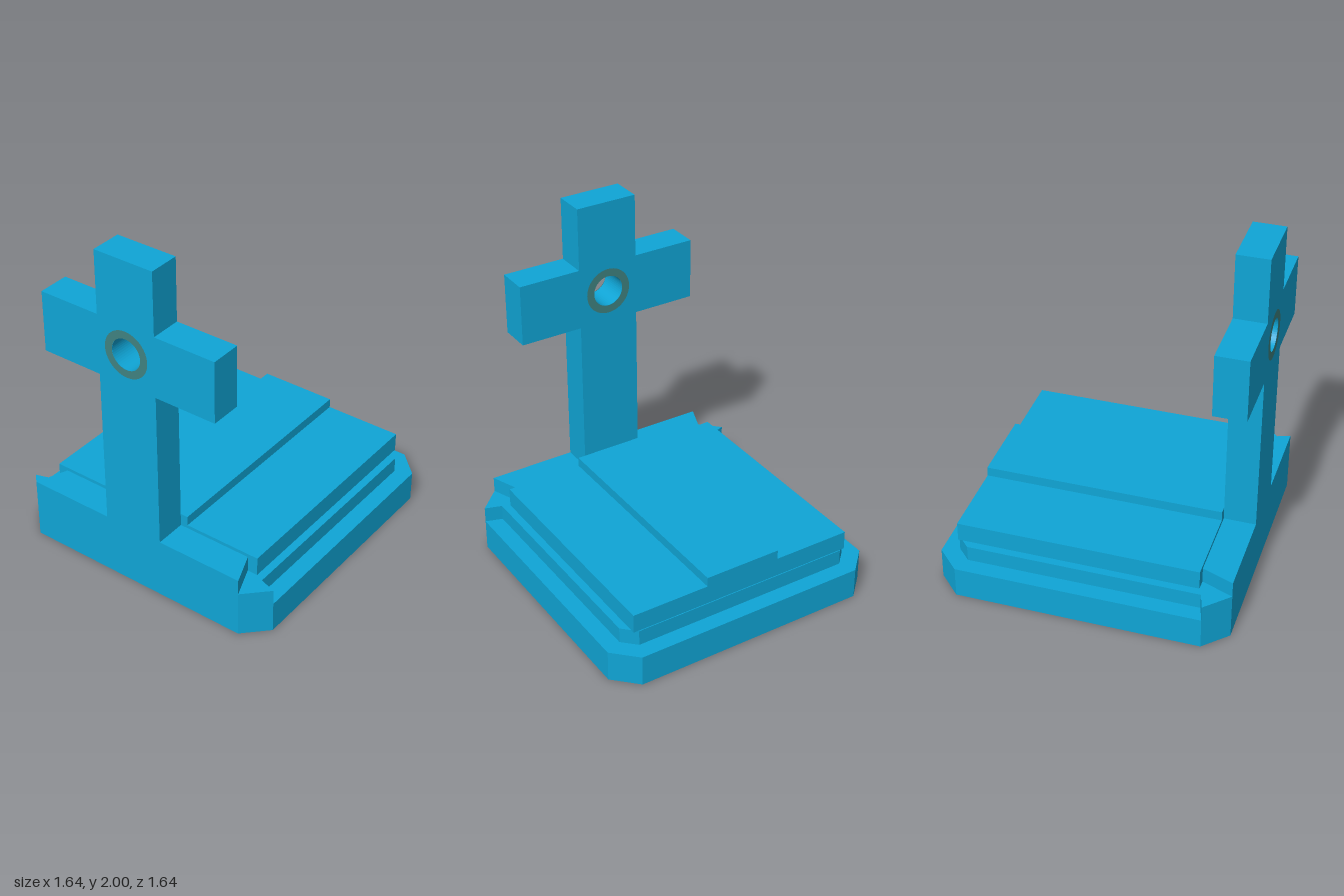
import * as THREE from 'three';

const stone = new THREE.MeshStandardMaterial({ color: 0x0fa5d6, flatShading: true, side: THREE.DoubleSide });
const bronze = new THREE.MeshStandardMaterial({ color: 0x3f8280, side: THREE.DoubleSide });

// Upright sheet following [x, z] points between two heights
function wall(points, y0, y1) {
  const pos = [];
  for (let i = 0; i < points.length - 1; i++) {
    const [ax, az] = points[i], [bx, bz] = points[i + 1];
    pos.push(ax, y0, az, bx, y0, bz, bx, y1, bz, ax, y0, az, bx, y1, bz, ax, y1, az);
  }
  const geo = new THREE.BufferGeometry();
  geo.setAttribute('position', new THREE.Float32BufferAttribute(pos, 3));
  geo.computeVertexNormals();
  return geo;
}

// Level sheet bounded by [x, z] points, facing up
function flat(points, y) {
  const shape = new THREE.Shape(points.map(([x, z]) => new THREE.Vector2(x, -z)));
  return new THREE.ShapeGeometry(shape).rotateX(-Math.PI / 2).translate(0, y, 0);
}

function box(x0, x1, y0, y1, halfZ) {
  return new THREE.BoxGeometry(x1 - x0, y1 - y0, halfZ * 2).translate((x0 + x1) / 2, (y0 + y1) / 2, 0);
}

// Completes a half outline (z > 0) with its mirror image
const mirrored = half => [...half, ...half.map(([x, z]) => [x, -z]).reverse()];

export function createModel() {
  const model = new THREE.Group();
  model.name = 'graveMonument';
  const add = (name, geo, mat = stone) => {
    const mesh = new THREE.Mesh(geo, mat);
    mesh.name = name;
    model.add(mesh);
    return mesh;
  };

  // Hollow plinth with clipped corners, open underneath
  const outer = mirrored([[-0.82, 0.69], [-0.69, 0.82], [0.69, 0.82], [0.82, 0.69]]);
  add('plinthWall', wall([...outer, outer[0]], 0, 0.18));

  // Ledge and raised step around three sides
  const rim = mirrored([[-0.69, 0.82], [0.69, 0.82], [0.82, 0.69]]);
  const step = mirrored([[-0.66, 0.725], [0.65, 0.725], [0.725, 0.65]]);
  add('plinthLedge', flat([...rim, ...[...step].reverse()], 0.18));
  add('stepWall', wall(step, 0.18, 0.27));
  add('stepTop', flat(mirrored([[-0.64, 0.62], ...step.slice(0, 3)]), 0.27));

  // Headstone block, hollow below, with a lower cheek at each end
  const cheek = [[-0.82, 0.69], [-0.69, 0.82], [-0.66, 0.725], [-0.64, 0.62]];
  add('blockWall', wall(mirrored([cheek[2], cheek[1], cheek[0]]), 0.18, 0.27));
  for (const s of [1, -1]) add('blockCheek', flat(cheek.map(([x, z]) => [x, s * z]), 0.27));
  const block = mirrored([[-0.64, 0.62], [-0.82, 0.69]]);
  add('blockUpperWall', wall(block, 0.27, 0.36));
  add('blockTop', flat(block, 0.36));

  // Grave slab with raised centre strip
  add('slab', box(-0.64, 0.72, 0.27, 0.38, 0.68));
  add('slabRidge', box(-0.64, 0.72, 0.38, 0.435, 0.225));

  // Cross with a round opening at the crossing
  const half = [[0.18, 0.36], [0.18, 1.28], [0.545, 1.28], [0.545, 1.635], [0.18, 1.635], [0.18, 2]];
  const outline = mirrored(half.map(([z, y]) => [y, z])).map(([y, z]) => new THREE.Vector2(z, y));
  const shape = new THREE.Shape(outline);
  const centreY = 1.465, holeRadius = 0.09;
  shape.holes.push(new THREE.Path().absarc(0, centreY, holeRadius, 0, Math.PI * 2, true));
  const cross = new THREE.ExtrudeGeometry(shape, { depth: 0.18, bevelEnabled: false, curveSegments: 24 });
  add('cross', cross.rotateY(Math.PI / 2).translate(-0.82, 0, 0));

  // Inlaid ring on both faces of the cross
  for (const [x, turn] of [[-0.638, 1], [-0.822, -1]]) {
    const ring = new THREE.RingGeometry(holeRadius, 0.135, 48).rotateY(turn * Math.PI / 2);
    add('crossRing', ring.translate(x, centreY, 0), bronze);
  }
  return model;
}
